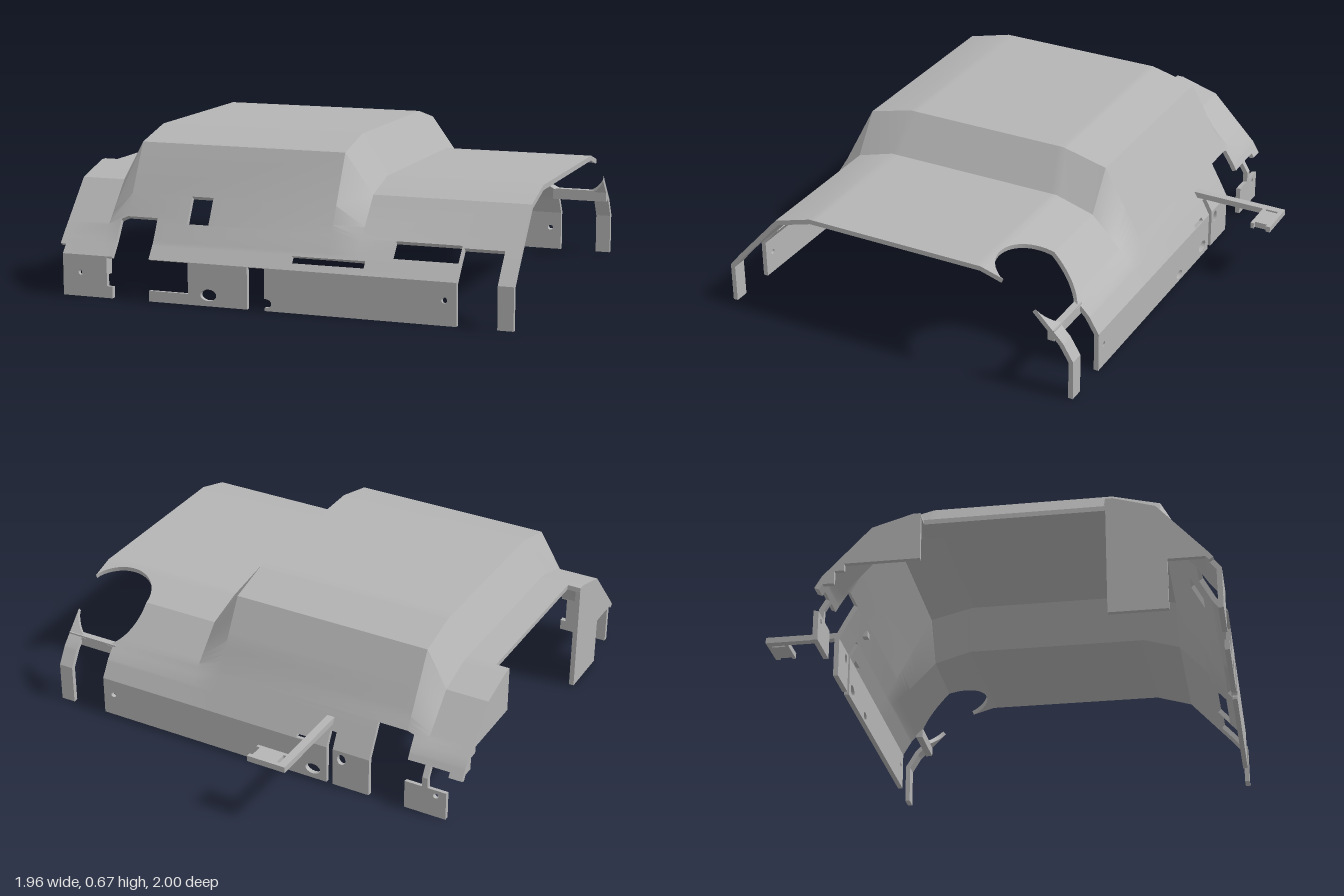
import * as THREE from 'three';
import { toCreasedNormals } from 'three/addons/utils/BufferGeometryUtils.js';

const T = 0.021; // shell thickness

// Cross-sections [z, y], from the front foot over the roof to the back foot
const LOW = [[1, 0], [1, 0.175], [0.95, 0.235], [0.75, 0.455], [0.58, 0.505],
  [-0.23, 0.505], [-0.4, 0.455], [-0.6, 0.25], [-0.645, 0.175], [-0.645, 0]];
const HIGH = [[1, 0], [1, 0.175], [0.955, 0.235], [0.75, 0.62], [0.55, 0.67],
  [-0.2, 0.67], [-0.4, 0.62], [-0.605, 0.25], [-0.645, 0.175], [-0.645, 0]];

// Raised middle: blend between the two sections along x
const XS = [-0.98, -0.79, -0.7, 0.2, 0.32, 0.98];
const BLEND = [0, 0, 1, 1, 0, 0];

// Moves a section inwards by the shell thickness, mitred at the folds
function inset(profile) {
  const normals = profile.slice(1).map((p, i) => {
    const dz = p[0] - profile[i][0], dy = p[1] - profile[i][1], l = Math.hypot(dz, dy);
    return [-dy / l, dz / l];
  });
  return profile.map((p, i) => {
    const a = normals[Math.max(i - 1, 0)], b = normals[Math.min(i, normals.length - 1)];
    const k = T / (1 + a[0] * b[0] + a[1] * b[1]);
    return [p[0] + (a[0] + b[0]) * k, p[1] + (a[1] + b[1]) * k];
  });
}
const LOW_IN = inset(LOW), HIGH_IN = inset(HIGH);

const mix = (a, b, t) => a + (b - a) * t;
function along(profile, v) {
  const i = Math.min(Math.floor(v), profile.length - 2), t = v - i;
  return [mix(profile[i][0], profile[i + 1][0], t), mix(profile[i][1], profile[i + 1][1], t)];
}
function point(x, v, inner) {
  let i = 0;
  while (i < XS.length - 2 && x > XS[i + 1]) i++;
  const h = mix(BLEND[i], BLEND[i + 1], (x - XS[i]) / (XS[i + 1] - XS[i]));
  const a = along(inner ? LOW_IN : LOW, v), b = along(inner ? HIGH_IN : HIGH, v);
  return [x, mix(a[1], b[1], h), mix(a[0], b[0], h)];
}

// Finds the place on the section where y or z has a given value
function locate(x, axis, value, side) {
  const range = axis === 'z' ? [1, 8] : side === 'front' ? [0, 4] : [5, 9];
  const c = axis === 'z' ? 2 : 1;
  for (let i = range[0]; i < range[1]; i++) {
    const a = point(x, i)[c], b = point(x, i + 1)[c];
    if (a !== b && (value - a) * (value - b) <= 1e-9) return i + (value - a) / (b - a);
  }
  return range[1];
}

// A cutout: x range, then a range of y (front or back face) or of z (roof)
function cut(x0, x1, a0, a1, side, round = 0) {
  const axis = side === 'roof' ? 'z' : 'y', c = axis === 'z' ? 2 : 1;
  const xm = Math.min((x0 + x1) / 2, 0.9), am = (a0 + a1) / 2, ar = (a1 - a0) / 2;
  const n = round || 1, rows = [];
  for (let i = 0; i <= n; i++) rows.push(locate(xm, axis, am - ar * Math.cos(Math.PI * i / n), side));
  const half = (v) => {
    if (!round) return (x1 - x0) / 2;
    const t = (point(xm, v)[c] - am) / ar;
    return (x1 - x0) / 2 * Math.sqrt(Math.max(0, 1 - t * t));
  };
  return { rows, v0: Math.min(...rows), v1: Math.max(...rows), mid: (x0 + x1) / 2, half };
}

const CUTS = [
  // Front face: corner, wheel notches, slots and windows
  cut(-1, -0.955, 0, 0.21, 'front'),
  cut(-0.73, -0.565, 0, 0.33, 'front'),
  cut(-0.755, -0.72, 0.05, 0.17, 'front'),
  cut(-0.58, -0.39, 0.045, 0.175, 'front'),
  cut(-0.43, -0.335, 0.315, 0.42, 'front'),
  cut(-0.13, -0.055, 0, 0.175, 'front'),
  cut(0.05, 0.36, 0.2, 0.225, 'front'),
  cut(0.465, 0.74, 0.24, 0.3, 'front'),
  cut(0.75, 0.915, 0, 0.292, 'front'),
  // Back face: corner, notches, plate gaps either side of a post
  cut(-1, -0.92, 0, 0.2, 'back'),
  cut(-0.92, -0.835, 0.13, 0.22, 'back'),
  cut(-0.81, -0.72, 0.13, 0.22, 'back'),
  cut(-0.73, -0.565, 0, 0.32, 'back'),
  cut(-0.395, -0.365, 0, 0.24, 'back'),
  cut(-0.3, -0.22, 0.178, 0.192, 'back'),
  cut(-0.455, -0.415, 0.11, 0.16, 'back', 8),
  cut(0.75, 0.915, 0, 0.29, 'back'),
  // Screw holes on both faces
  ...['front', 'back'].flatMap((s) => [
    cut(-0.885, -0.861, 0.09, 0.114, s, 8), cut(0.688, 0.712, 0.09, 0.114, s, 8),
    cut(-0.335, -0.265, 0.022, 0.07, s, 8), cut(-0.08, -0.025, 0.012, 0.05, s, 8)]),
  // Roof: recessed left edge and the round opening
  cut(-1, -0.92, -0.2, 0.55, 'roof'),
  cut(0.67, 1, -0.57, -0.24, 'roof', 28),
];

// Builds the shell row by row, leaving the cutouts open
function shellGeometry() {
  const pos = [];
  const quad = (a, b, c, d) => pos.push(...a, ...b, ...c, ...a, ...c, ...d);
  const stops = [...LOW.keys(), ...CUTS.flatMap((c) => c.rows)].sort((a, b) => a - b)
    .filter((v, i, all) => i === 0 || v - all[i - 1] > 1e-6);
  const clampX = (x) => Math.min(0.98, Math.max(-0.98, x));
  for (let r = 0; r < stops.length - 1; r++) {
    const v0 = stops[r], v1 = stops[r + 1], vm = (v0 + v1) / 2;
    const gaps = CUTS.filter((c) => vm > c.v0 && vm < c.v1).map((c) => {
      const edge = (s) => [v0, v1, vm].map((v) => clampX(c.mid + s * c.half(v)));
      return { l: edge(-1), r: edge(1) };
    }).sort((a, b) => a.l[2] - b.l[2]);
    gaps.push({ l: [0.98, 0.98, 0.98], r: [0.98, 0.98, 0.98] });
    let start = [-0.98, -0.98, -0.98];
    for (const gap of gaps) {
      const end = gap.l;
      if (end[2] - start[2] > 1e-4) {
        const breaks = XS.filter((x) => x > Math.max(...start) + 1e-4 && x < Math.min(...end) - 1e-4);
        const cols = [start, ...breaks.map((x) => [x, x, x]), end];
        for (let i = 0; i < cols.length - 1; i++) {
          const corners = (inner) => [point(cols[i][0], v0, inner), point(cols[i + 1][0], v0, inner),
            point(cols[i + 1][1], v1, inner), point(cols[i][1], v1, inner)];
          const [a, b, c, d] = corners(false), [e, f, g, h] = corners(true);
          quad(a, b, c, d);
          quad(h, g, f, e);
          quad(b, a, e, f);
          quad(d, c, g, h);
          if (i === 0) quad(a, d, h, e);
          if (i === cols.length - 2) quad(c, b, f, g);
        }
      }
      if (gap.r[2] > start[2]) start = gap.r;
    }
  }
  const geo = new THREE.BufferGeometry();
  geo.setAttribute('position', new THREE.Float32BufferAttribute(pos, 3));
  return toCreasedNormals(geo, 0.35);
}

export function createModel() {
  const group = new THREE.Group();
  const grey = new THREE.MeshStandardMaterial({ color: 0xb4b4b4 });
  grey.name = 'plain grey';
  const add = (name, geo) => {
    const mesh = new THREE.Mesh(geo, grey);
    mesh.name = name;
    group.add(mesh);
    return mesh;
  };
  const box = (name, x0, x1, y0, y1, z0, z1) => add(name, new THREE.BoxGeometry(x1 - x0, y1 - y0, z1 - z0))
    .position.set((x0 + x1) / 2, (y0 + y1) / 2, (z0 + z1) / 2);
  const shape = (pts) => new THREE.Shape(pts.map((p) => new THREE.Vector2(...p)));

  add('shell', shellGeometry());

  // Side plates under the left edge, drawn in z and y
  const sidePlate = (name, pts) => {
    const geo = new THREE.ExtrudeGeometry(shape(pts), { depth: 0.022, bevelEnabled: false });
    add(name, geo.rotateY(-Math.PI / 2).translate(-0.958, 0, 0));
  };
  sidePlate('frontSidePlate', [[0.55, 0], [0.79, 0], [0.79, 0.215], [0.955, 0.215], [0.745, 0.447], [0.58, 0.495], [0.55, 0.495]]);
  sidePlate('backSidePlate', [[-0.2, 0.3], [-0.2, 0.495], [-0.23, 0.495], [-0.395, 0.447], [-0.595, 0.245],
    [-0.61, 0.215], [-0.55, 0.215], [-0.55, 0.27], [-0.51, 0.27], [-0.51, 0.3]]);

  // Bar that carries the back right leg below the round opening
  box('legBar', 0.735, 0.98, 0.25, 0.298, -0.56, -0.53);

  // Arm reaching out at the back with a slotted head, drawn in x and -z
  const arm = shape([[-0.37, 0.55], [-0.335, 0.55], [-0.335, 0.91], [-0.195, 0.91], [-0.195, 0.925], [-0.21, 0.925],
    [-0.21, 0.98], [-0.195, 0.98], [-0.195, 1], [-0.37, 1]]);
  arm.holes.push(shape([[-0.335, 0.925], [-0.335, 0.98], [-0.322, 0.98], [-0.322, 0.925]]));
  const armGeo = new THREE.ExtrudeGeometry(arm, { depth: 0.026, bevelEnabled: false });
  add('backArm', armGeo.rotateX(-Math.PI / 2).translate(0, 0.265, 0));
  return group;
}
